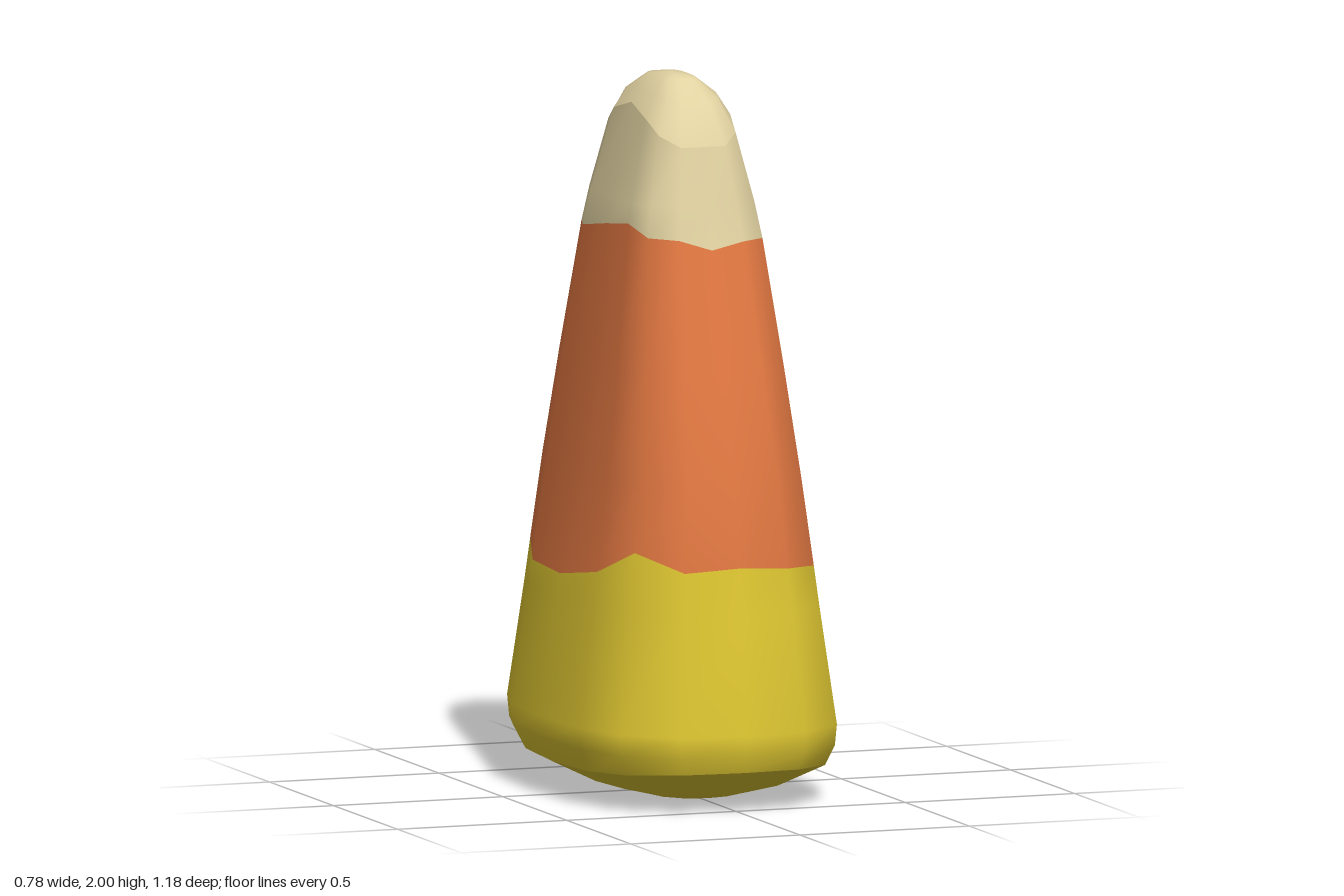
import * as THREE from 'three';

const N = 16;
const mat = (name, color) => {
  const m = new THREE.MeshStandardMaterial({ color });
  m.name = name;
  return m;
};

// Quarter outlines (unit size): rounded oval low down, boxier near the tip
const OVAL = [[1, 0], [0.96, 0.45], [0.82, 0.75], [0.47, 0.95], [0, 1]];
const BOXY = [[1, 0], [1, 0.55], [0.85, 0.84], [0.47, 1], [0, 1]];

// Half width (x) and half depth (z) at each height
const PROFILE = [
  [0.09, 0.35, 0.55], [0.15, 0.385, 0.58], [0.22, 0.39, 0.59], [0.55, 0.342, 0.54],
  [0.9, 0.285, 0.49], [1.2, 0.245, 0.41], [1.57, 0.198, 0.305], [1.66, 0.18, 0.285],
  [1.82, 0.138, 0.245], [1.92, 0.12, 0.215],
];

// Outline point k of 16, starting at +x and turning towards +z
function outline(k, t) {
  const q = Math.floor(k / 4), r = k % 4;
  const i = q % 2 ? 4 - r : r;
  const sx = q === 1 || q === 2 ? -1 : 1, sz = q >= 2 ? -1 : 1;
  const mix = (c) => THREE.MathUtils.lerp(OVAL[i][c], BOXY[i][c], t);
  return [sx * mix(0), sz * mix(1)];
}

function sizeAt(y) {
  let i = 0;
  while (i < PROFILE.length - 2 && y > PROFILE[i + 1][0]) i++;
  const a = PROFILE[i], b = PROFILE[i + 1];
  const f = THREE.MathUtils.clamp((y - a[0]) / (b[0] - a[0]), 0, 1);
  return [1, 2].map((c) => THREE.MathUtils.lerp(a[c], b[c], f));
}

const boxiness = (y) => THREE.MathUtils.clamp((y - 0.5) / 1.0, 0, 1);

// Ring on the body wall; heightFn gives the height of each point
function wallRing(heightFn) {
  return Array.from({ length: N }, (_, k) => {
    const y = heightFn(k), [w, d] = sizeAt(y), [x, z] = outline(k, boxiness(y));
    return [x * w, y, z * d];
  });
}

// Ring of a given size, its height dropping by `drop` towards the two ends
function capRing(w, d, y, drop, t) {
  return Array.from({ length: N }, (_, k) => {
    const [x, z] = outline(k, t);
    return [x * w, y - drop * z * z, z * d];
  });
}

// Skin rings from bottom to top; optional centre points close the ends
function loft(rings, { bottom, top } = {}) {
  const pos = rings.flat(2), idx = [];
  for (let r = 0; r < rings.length - 1; r++) {
    for (let k = 0; k < N; k++) {
      const a = r * N + k, b = r * N + (k + 1) % N;
      idx.push(a, a + N, b, b, a + N, b + N);
    }
  }
  const centre = rings.length * N, last = centre - N;
  if (bottom) pos.push(...bottom);
  if (top) pos.push(...top);
  for (let k = 0; k < N; k++) {
    const n = (k + 1) % N;
    if (bottom) idx.push(centre, k, n);
    if (top) idx.push(last + n, last + k, centre);
  }
  const g = new THREE.BufferGeometry();
  g.setAttribute('position', new THREE.Float32BufferAttribute(pos, 3));
  g.setIndex(idx);
  g.computeVertexNormals();
  return g;
}

export function createModel() {
  const yellow = mat('yellow sugar', 0xe0c832);
  const orange = mat('orange sugar', 0xe27842);
  const cream = mat('cream sugar', 0xe2d3a2);
  const group = new THREE.Group();
  group.name = 'candyCorn';
  const add = (name, geometry, material) => {
    const m = new THREE.Mesh(geometry, material);
    m.name = name;
    group.add(m);
  };

  // Uneven colour borders, repeated on the opposite half
  const lowBorder = [0.615, 0.62, 0.66, 0.67, 0.68, 0.67, 0.72, 0.65];
  const highBorder = [1.585, 1.56, 1.56, 1.56, 1.54, 1.57, 1.575, 1.605];
  const endness = (k) => outline(k, 1)[1] ** 2;
  const rim = wallRing((k) => 0.09 + 0.025 * outline(k, 0)[1] ** 2);
  const capEdge = wallRing((k) => 1.92 - 0.1 * endness(k));

  // Body wall with three colour bands
  const rings = [
    rim,
    ...[0.16, 0.22, 0.55].map((y) => wallRing(() => y)),
    wallRing((k) => lowBorder[k % 8]),
    ...[0.9, 1.2].map((y) => wallRing(() => y)),
    wallRing((k) => highBorder[k % 8]),
    wallRing(() => 1.66),
    capEdge,
  ];
  const body = loft(rings);
  const band = N * 6;
  body.addGroup(0, 4 * band, 0);
  body.addGroup(4 * band, 3 * band, 1);
  body.addGroup(7 * band, 2 * band, 2);
  add('body', body, [yellow, orange, cream]);

  // Rounded tip, creased along its edge
  add('tip', loft([
    capEdge,
    capRing(0.09, 0.19, 1.96, 0.03, 1),
    capRing(0.045, 0.1, 1.993, 0.003, 1),
  ], { top: [0, 2, 0] }), cream);

  // Shallow domed underside, creased along its rim
  add('underside', loft([
    capRing(0.13, 0.28, 0.008, 0, 0),
    capRing(0.225, 0.45, 0.03, -0.02, 0),
    rim,
  ], { bottom: [0, 0, 0] }), yellow);

  return group;
}
